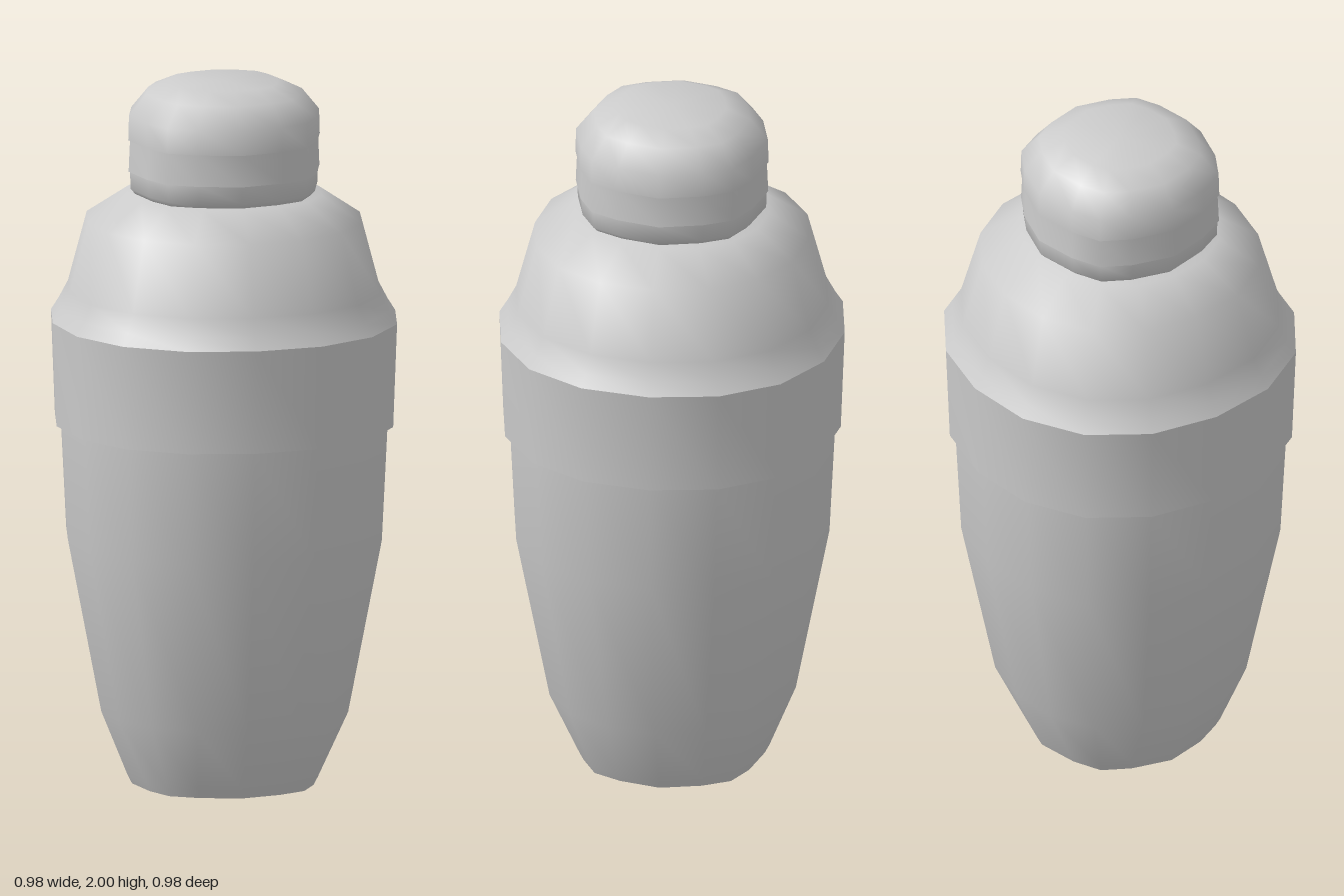
import * as THREE from 'three';
import { toCreasedNormals } from 'three/addons/utils/BufferGeometryUtils.js';

const material = new THREE.MeshStandardMaterial({ color: 0xcccccc, side: THREE.DoubleSide });
const SIDES = 16;

// One quarter-symmetric outline per style: [mid-point x, mid-point z, diagonal]
const ROUND = [0.398, 0.935, 0.728];
const SQUARISH = [0.441, 0.89, 0.735];

// Unit outline point k of 16, counted from +z towards +x
function outlinePoint(k, [a, b, d]) {
  const eighth = [[0, 1], [a, b], [d, d], [b, a]][k % 4];
  const [x, z] = eighth;
  return [[x, z], [z, -x], [-x, -z], [-z, x]][Math.floor(k / 4) % 4];
}

// Turned part with a slightly squared outline
function turned(name, profile, styleAt) {
  const geometry = new THREE.LatheGeometry(profile.map(([r, y]) => new THREE.Vector2(r, y)), SIDES);
  const pos = geometry.attributes.position;
  for (let i = 0; i < pos.count; i++) {
    const k = Math.floor(i / profile.length) % SIDES;
    const [r, y] = profile[i % profile.length];
    const [x, z] = outlinePoint(k, styleAt(y));
    pos.setXYZ(i, x * r, y, z * r);
  }
  geometry.deleteAttribute('normal');
  const mesh = new THREE.Mesh(toCreasedNormals(geometry, 0.9), material);
  mesh.name = name;
  return mesh;
}

export function createModel() {
  const group = new THREE.Group();
  group.name = 'cocktailShaker';

  // Tapered cup, with a squarer foot
  group.add(turned('cup', [
    [0, 0], [0.262, 0], [0.275, 0.025], [0.35, 0.21], [0.445, 0.705], [0.461, 1.03], [0.464, 1.1],
  ], (y) => (y < 0.1 ? SQUARISH : ROUND)));

  // Collar overlapping the rim of the cup
  group.add(turned('collar', [
    [0.455, 1.03], [0.477, 1.03], [0.488, 1.325],
  ], () => ROUND));

  // Flared shoulder with a domed top
  group.add(turned('shoulder', [
    [0.488, 1.325], [0.466, 1.36], [0.44, 1.41], [0.387, 1.61], [0.275, 1.685], [0, 1.69],
  ], () => ROUND));

  // Cap with two fine stepped ridges
  group.add(turned('cap', [
    [0.252, 1.685], [0.266, 1.7], [0.268, 1.75], [0.272, 1.75], [0.268, 1.84], [0.273, 1.84],
    [0.271, 1.91], [0.222, 1.97], [0.155, 2], [0, 2],
  ], () => SQUARISH));

  return group;
}
